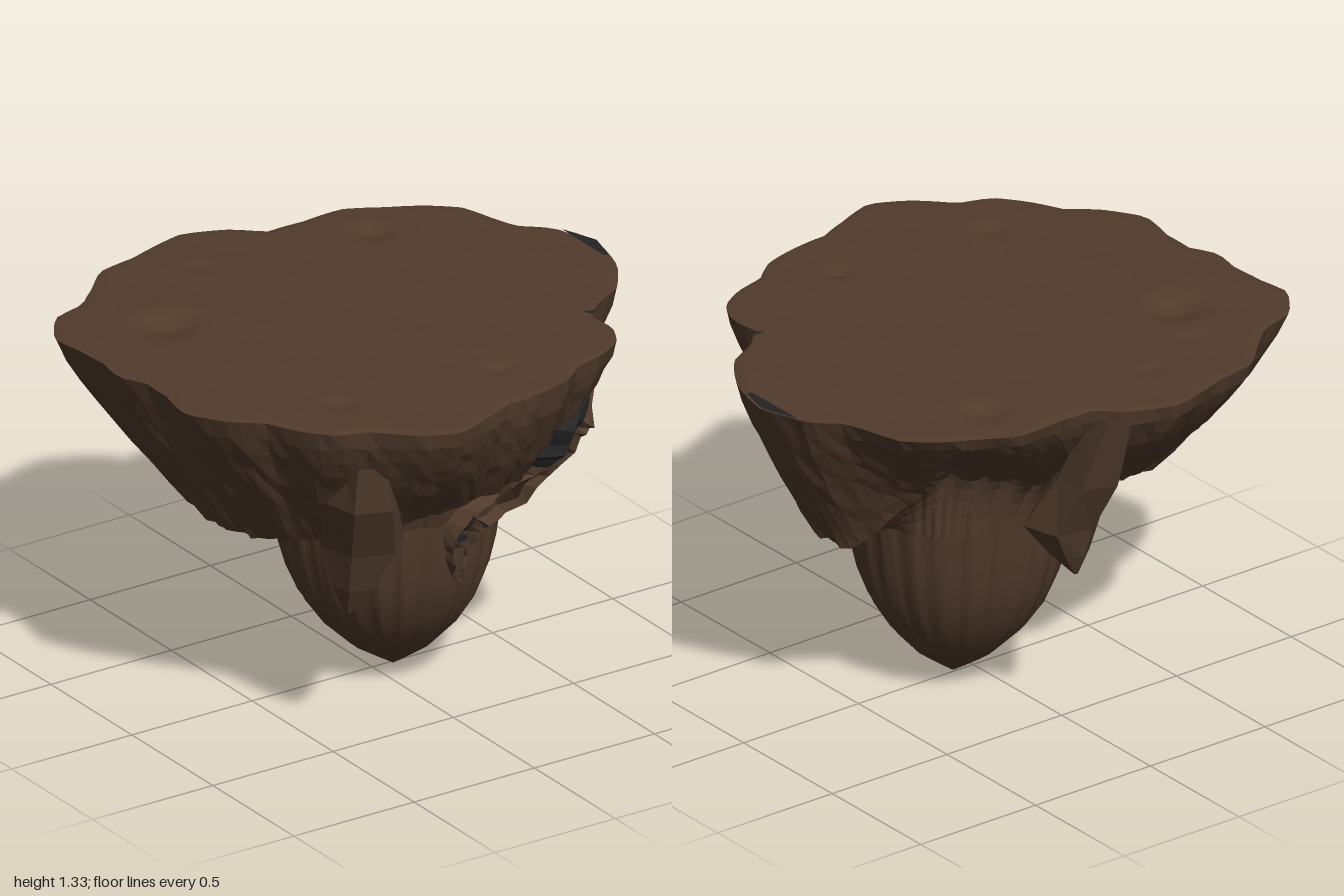
import * as THREE from 'three';

const TAU = Math.PI * 2;
const COLS = 144;
const TOP = 1.32;

// Rim outline, x and z in turn
const RIM = [
  1, -0.1, 0.95, 0.1, 0.84, 0.26, 0.72, 0.32, 0.64, 0.4, 0.65, 0.52, 0.6, 0.62, 0.5, 0.68, 0.38, 0.71,
  0.28, 0.79, 0.12, 0.83, 0, 0.84, -0.12, 0.89, -0.27, 0.945, -0.4, 0.88, -0.52, 0.76, -0.64, 0.72,
  -0.72, 0.62, -0.78, 0.5, -0.88, 0.42, -0.97, 0.28, -0.94, 0.12, -0.94, 0, -0.99, -0.1, -0.97, -0.22,
  -0.98, -0.35, -1, -0.48, -0.9, -0.62, -0.76, -0.66, -0.66, -0.75, -0.56, -0.85, -0.4, -0.88,
  -0.28, -0.92, -0.16, -0.95, 0, -0.89, 0.1, -0.8, 0.25, -0.8, 0.42, -0.81, 0.55, -0.74, 0.68, -0.67,
  0.77, -0.59, 0.81, -0.45, 0.84, -0.36, 0.94, -0.27, 0.96, -0.2,
];
// Lower lip of the overhang: angle in degrees, radius, height
const LIP = [
  [0, 0.67, 0.69], [25, 0.6, 0.76], [45, 0.58, 0.85], [70, 0.62, 0.88], [100, 0.65, 0.88], [125, 0.63, 0.8],
  [150, 0.63, 0.74], [180, 0.62, 0.69], [205, 0.64, 0.69], [230, 0.58, 0.8], [255, 0.53, 0.85],
  [270, 0.5, 0.88], [295, 0.47, 0.94], [318, 0.47, 0.96], [334, 0.56, 0.84], [346, 0.66, 0.7],
].map(([d, r, y]) => [d / 360 * TAU, r, y]);
// Root by height: radius and x of the centre
const ROOT = [
  [0.69, 0.395, 0.05], [0.6, 0.385, 0.05], [0.5, 0.37, 0.052], [0.4, 0.345, 0.055], [0.3, 0.305, 0.058],
  [0.2, 0.24, 0.063], [0.1, 0.145, 0.07], [0.04, 0.06, 0.076], [0, 0.001, 0.08],
];

const rimTable = [];
for (let i = 0; i < RIM.length; i += 2) {
  const a = Math.atan2(RIM[i + 1], RIM[i]);
  rimTable.push([(a + TAU) % TAU, Math.hypot(RIM[i], RIM[i + 1])]);
}
rimTable.sort((p, q) => p[0] - q[0]);

// Linear lookup in a table that wraps round the circle
function around(table, a, k) {
  const n = table.length;
  let i = table.findIndex((p) => p[0] > a);
  if (i < 0) i = n;
  const p = table[(i + n - 1) % n], q = table[i % n];
  const span = (q[0] - p[0] + TAU) % TAU;
  return THREE.MathUtils.lerp(p[k], q[k], ((a - p[0] + TAU) % TAU) / span);
}

function seeded(seed) {
  return () => {
    seed = (seed * 16807) % 2147483647;
    return seed / 2147483647 - 0.5;
  };
}

// Skin over rows of [x, y, z] points; pick chooses the material of each cell
function skin(rows, closed, smooth, pick) {
  const n = rows[0].length, lists = [[], []];
  for (let i = 0; i < rows.length - 1; i++) {
    for (let j = 0; j < (closed ? n : n - 1); j++) {
      const k = (j + 1) % n, a = i * n + j, b = i * n + k, c = a + n, d = b + n;
      lists[pick ? pick(i, j) : 0].push(a, b, c, b, d, c);
    }
  }
  let g = new THREE.BufferGeometry();
  g.setAttribute('position', new THREE.Float32BufferAttribute(rows.flat(2), 3));
  g.setIndex(lists.flat());
  if (!smooth) g = g.toNonIndexed();
  if (pick) {
    g.addGroup(0, lists[0].length, 0);
    g.addGroup(lists[0].length, lists[1].length, 1);
  }
  g.computeVertexNormals();
  return g;
}

const ring = (f) => Array.from({ length: COLS }, (_, j) => f(j / COLS * TAU, j));

export function createModel() {
  const group = new THREE.Group();
  const earth = new THREE.MeshStandardMaterial({ color: 0x513b2c });
  earth.name = 'earth brown';
  const dark = new THREE.MeshStandardMaterial({ color: 0x242424 });
  dark.name = 'dark stone';
  const add = (name, geometry, material = earth) => {
    const mesh = new THREE.Mesh(geometry, material);
    mesh.name = name;
    group.add(mesh);
  };

  // Ground with shallow pits and a slightly uneven surface
  const pits = [[-0.61, -0.35, 0.11, 0.03], [0.4, -0.59, 0.08, 0.02], [-0.48, 0.52, 0.06, 0.015], [0.14, 0.58, 0.05, 0.015], [-0.25, -0.68, 0.05, 0.01]];
  const height = (x, z) => pits.reduce(
    (h, [mx, mz, r, deep]) => {
      const q = ((x - mx) ** 2 + (z - mz) ** 2) / (r * r);
      return h - deep * (1 - 0.8 * q) * Math.exp(-q);
    },
    TOP + 0.003 + 0.003 * Math.sin(13 * x + 2) * Math.sin(11 * z),
  );
  const topRows = [];
  for (let i = 0; i <= 40; i++) {
    topRows.push(ring((a) => {
      const r = around(rimTable, a, 1) * Math.max(i / 40, 0.001);
      const x = r * Math.cos(a), z = r * Math.sin(a);
      return [x, i === 40 ? TOP : height(x, z), z];
    }));
  }
  add('ground', skin(topRows, true, true));

  // Overhanging cliff, curving in to the lip and then under to the root
  const rand = seeded(71);
  const flute = ring(() => rand());
  const cliffRows = [];
  for (let i = 0; i <= 8; i++) {
    const s = i / 8;
    cliffRows.push(ring((a, j) => {
      const rough = i === 0 ? 0 : 0.01 * rand() + s * (0.01 * flute[j] + 0.01 * Math.sin(27 * a));
      const bulge = s ** (1.15 + 0.4 * Math.sin(a) ** 2);
      const r = THREE.MathUtils.lerp(around(rimTable, a, 1), around(LIP, a, 1), bulge) + rough;
      const y = THREE.MathUtils.lerp(TOP, around(LIP, a, 2), s) + (i ? 0.01 * rand() : 0);
      return [r * Math.cos(a), y, r * Math.sin(a)];
    }));
  }
  const rootRing = ([y, r, x]) => ring((a, j) => {
    const f = r * (1 + 0.03 * flute[j] + 0.015 * Math.sin(23 * a));
    return [x + f * Math.cos(a), y, 0.01 + f * Math.sin(a)];
  });
  const lip = cliffRows[8], neck = rootRing(ROOT[0]);
  for (const t of [0.2, 0.4, 0.6, 0.8]) {
    const inward = 1 - (1 - t) ** 1.6, down = t ** 1.6;
    cliffRows.push(lip.map((p, j) => p.map((v, k) => THREE.MathUtils.lerp(v, neck[j][k], k === 1 ? down : inward))));
  }
  cliffRows.push(neck);
  add('cliff', skin(cliffRows, true, false));

  // Fluted root tapering to a point
  add('root', skin(ROOT.map(rootRing), true, true));

  // Hanging rock spikes: rings of x, y, z, radius
  const spike = (name, rings) => add(name, skin(rings.map(([x, y, z, r]) =>
    Array.from({ length: 6 }, (_, j) => {
      const a = (j + 0.3) / 6 * TAU, q = r * (1 + 0.2 * rand());
      return [x + q * Math.cos(a), y, z + q * Math.sin(a)];
    })), true, false));
  spike('frontSpike', [[-0.46, 1.16, 0.64, 0.1], [-0.44, 0.98, 0.6, 0.13], [-0.38, 0.77, 0.5, 0.15], [-0.41, 0.62, 0.5, 0.08], [-0.435, 0.51, 0.5, 0.01]]);
  spike('backSpike', [[0.01, 1.29, -0.8, 0.09], [0.02, 1, -0.68, 0.12], [0.05, 0.8, -0.58, 0.14], [0.05, 0.69, -0.61, 0.07], [0.04, 0.61, -0.63, 0.01]]);
  spike('sideSpike', [[0.5, 0.95, 0.36, 0.1], [0.47, 0.8, 0.3, 0.08], [0.49, 0.67, 0.28, 0.005]]);

  // Broken seam of raised rock with dark stone inside
  const path = new THREE.CatmullRomCurve3([
    [0.69, 1.23, 0.3], [0.58, 1.14, 0.44], [0.45, 1.03, 0.57], [0.39, 0.9, 0.52],
    [0.27, 0.77, 0.45], [0.12, 0.68, 0.415], [0.1, 0.56, 0.38], [0.12, 0.38, 0.335],
  ].map((p) => new THREE.Vector3(...p)));
  const N = 26, seamRows = [];
  for (let i = 0; i <= N; i++) {
    const t = i / N, p = path.getPoint(t);
    const out = new THREE.Vector3(p.x, 0, p.z).normalize();
    const side = path.getTangent(t).cross(out).normalize();
    const width = (t < 0.6 ? 0.09 : 0.065) * Math.min(1, 5 * t + 0.3, 4 * (1 - t) + 0.15);
    seamRows.push([[-1.2, -0.06], [-0.8, 0.05], [-0.3, 0.015], [0.4, 0.015], [0.8, 0.05], [1.2, -0.06]].map(([u, h]) =>
      p.clone().addScaledVector(side, width * (u + 0.55 * rand()))
        .addScaledVector(out, h * width * 11 + 0.035 * rand()).toArray()));
  }
  const isDark = (i, j) => ((j === 2 && (i < 3 || (i > 4 && i < 13) || (i > 17 && i < 21))) || (j > 2 && i > 5 && i < 12) ? 1 : 0);
  add('rockSeam', skin(seamRows, false, false, isDark), [earth, dark]);

  // Dark stone chips set in the rim
  const chip = (name, points) => {
    const g = new THREE.ShapeGeometry(new THREE.Shape(points.map(([x, z]) => new THREE.Vector2(x, -z)).reverse()));
    add(name, g.rotateX(-Math.PI / 2).translate(0, TOP + 0.006, 0), dark);
  };
  chip('rimChip', [[0.95, -0.24], [0.97, -0.19], [1, -0.1], [0.97, 0.02], [0.95, 0.02]]);
  chip('notchChip', [[0.63, 0.36], [0.68, 0.375], [0.65, 0.395]]);
  return group;
}
